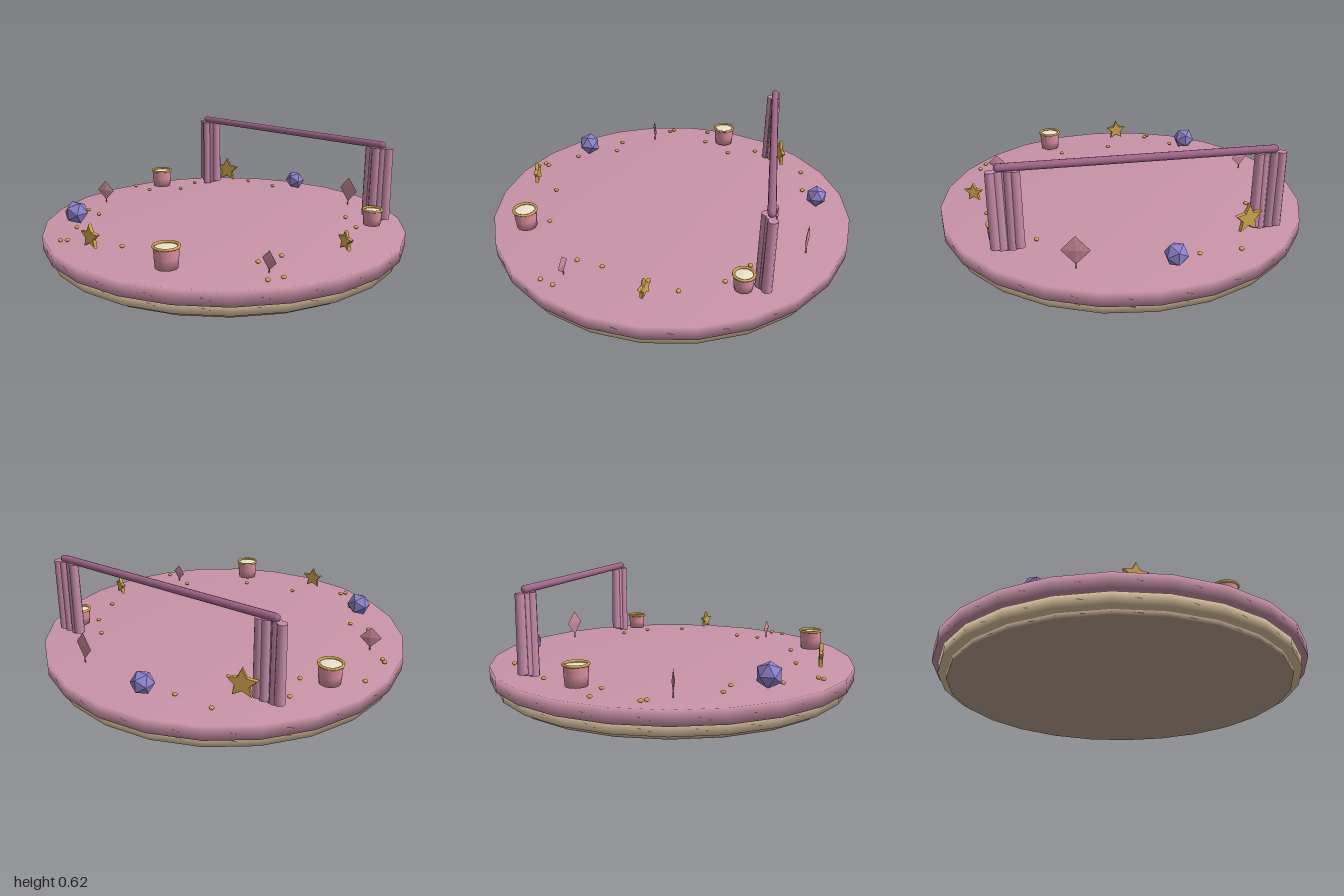
import * as THREE from 'three';

const mat = (color, opts = {}) => {
  const m = new THREE.MeshStandardMaterial(opts);
  m.color.set(color);
  return m;
};
const pink = mat(0xc993a8), cream = mat(0xdcc3a0), tan = mat(0xb8a08e);
const rodMat = mat(0xa0668a), curtainMat = mat(0xc78caa), jarMat = mat(0xd98f9f);
const gold = mat(0xcfa64e), filling = mat(0xece3cf);
const goldFlat = mat(0xcfa64e, { flatShading: true });
const violet = mat(0x8c80c8, { flatShading: true });
const rose = mat(0xc98a98, { flatShading: true });

function add(parent, name, geometry, material, x = 0, y = 0, z = 0) {
  const mesh = new THREE.Mesh(geometry, material);
  mesh.name = name;
  mesh.position.set(x, y, z);
  parent.add(mesh);
  return mesh;
}

const lathe = (pairs, sides) =>
  new THREE.LatheGeometry(pairs.map(([r, y]) => new THREE.Vector2(r, y)), sides);

// Closed softly shaded disc
const disc = (r, y0, y1) => lathe([[0, y0], [r, y0], [r, y1], [0, y1]], 24);

// Cup with a gold rim and a pale filling
function makeJar(x, z, r, h) {
  const jar = new THREE.Group();
  jar.name = 'jar';
  jar.position.set(x, 0.18, z);
  add(jar, 'jarBody', lathe([[0, 0], [r * 0.86, 0], [r * 0.93, h * 0.5], [r * 0.95, h]], 20), jarMat);
  add(jar, 'jarFilling', lathe([[r * 0.93, h - 0.006], [r * 0.5, h - 0.002], [0, h]], 20), filling);
  add(jar, 'jarRim', new THREE.TorusGeometry(r * 0.95, 0.007, 8, 24), gold, 0, h, 0).rotation.x = Math.PI / 2;
  return jar;
}

// Five-pointed star with a bevelled edge
function makeStar(r) {
  const shape = new THREE.Shape();
  for (let i = 0; i < 10; i++) {
    const a = Math.PI / 2 + (i * Math.PI) / 5, q = i % 2 ? r * 0.48 : r;
    shape[i ? 'lineTo' : 'moveTo'](Math.cos(a) * q, Math.sin(a) * q);
  }
  const g = new THREE.ExtrudeGeometry(shape, {
    depth: 0.012, bevelEnabled: true, bevelSize: 0.003, bevelThickness: 0.004, bevelSegments: 1,
  });
  return g.translate(0, 0, -0.006);
}

export function createModel() {
  const model = new THREE.Group();
  model.name = 'roundStage';

  // Stepped round platform
  add(model, 'stageFoot', disc(0.92, 0, 0.03), tan);
  add(model, 'stageTrim', disc(0.965, 0.027, 0.09), cream);
  add(model, 'stageTop', disc(1, 0.085, 0.16), pink);

  // Curtain rod with rounded ends
  const rod = new THREE.CapsuleGeometry(0.02, 1.33, 4, 12).rotateZ(Math.PI / 2);
  add(model, 'curtainRod', rod, rodMat, 0, 0.602, -0.547);

  // Gathered folds at both ends: x, z, bottom
  const folds = [[0.703, -0.555, 0.19], [0.672, -0.545, 0.18], [0.645, -0.525, 0.17],
    [0.618, -0.548, 0.18], [0.588, -0.555, 0.19]];
  for (const side of [1, -1]) {
    const curtain = new THREE.Group();
    curtain.name = side > 0 ? 'leftCurtain' : 'rightCurtain';
    model.add(curtain);
    for (const [x, z, y0] of folds) {
      const h = 0.587 - y0;
      add(curtain, 'curtainFold', new THREE.CylinderGeometry(0.024, 0.027, h, 10), curtainMat, side * x, y0 + h / 2, z);
    }
  }

  // Jars
  for (const j of [[-0.79, -0.235, 0.063, 0.103], [0.69, -0.445, 0.053, 0.085], [0.34, 0.745, 0.063, 0.103]])
    model.add(makeJar(...j));

  // Faceted gems
  for (const [x, y, z, r] of [[-0.115, 0.225, -0.815, 0.06], [-0.54, 0.23, 0.62, 0.067]])
    add(model, 'gem', new THREE.IcosahedronGeometry(r, 0), violet, x, y, z);

  // Standing stars: x, y, z, radius, turn
  for (const [x, y, z, r, turn] of [[-0.118, 0.24, 0.83, 0.061, 0.08],
    [0.815, 0.232, 0.01, 0.05, -0.35], [-0.535, 0.265, -0.607, 0.077, 0.28]])
    add(model, 'star', makeStar(r), goldFlat, x, y, z).rotation.y = turn;

  // Thin diamonds on short stems: x, y, z, half width, half height, turn
  for (const [x, y, z, w, h, turn] of [[-0.79, 0.235, 0.23, 0.057, 0.058, 0.35],
    [0.69, 0.22, 0.44, 0.05, 0.048, -0.18], [0.342, 0.255, -0.75, 0.07, 0.074, -0.22]]) {
    const diamond = add(model, 'diamond', new THREE.OctahedronGeometry(1, 0).scale(w, h, 0.008), rose, x, y, z);
    diamond.rotation.y = turn;
    const len = y - h + 0.01 - 0.16;
    add(model, 'diamondStem', new THREE.CylinderGeometry(0.003, 0.003, len, 6), rodMat, x, 0.16 + len / 2, z);
  }

  // Scattered flattened beads
  const beads = [[-0.46, -0.74], [-0.25, -0.745], [-0.695, -0.45], [-0.65, -0.275], [-0.78, -0.115],
    [-0.92, -0.115], [-0.92, 0.12], [-0.9, 0.142], [-0.69, 0.436], [-0.572, 0.447], [-0.46, 0.677],
    [-0.043, 0.698], [0.273, 0.639], [-0.32, 0.832], [-0.342, 0.858], [0.76, 0.535], [0.791, 0.463],
    [0.588, 0.398], [0.62, 0.26], [0.749, -0.142], [0.647, -0.356], [0.505, -0.473]];
  const beadGeometry = new THREE.SphereGeometry(0.013, 10, 8).scale(1, 0.7, 1);
  for (const [x, z] of beads) add(model, 'bead', beadGeometry, gold, x, 0.175, z);

  return model;
}
